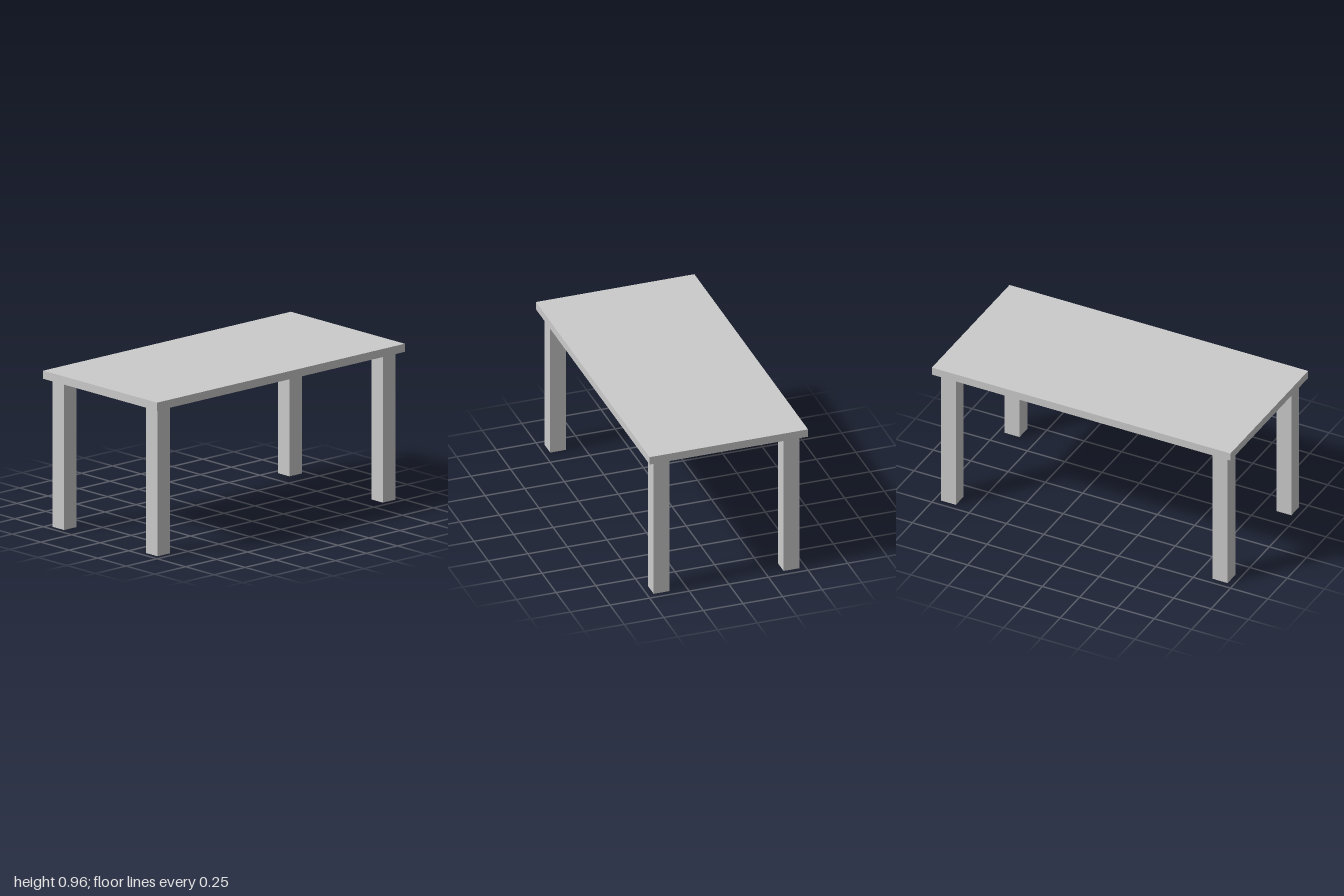
import * as THREE from 'three';

const WIDTH = 1, LENGTH = 2, TOP = 0.96, PANEL_BOTTOM = 0.93, RIM_BOTTOM = 0.91;
const RIM = 0.04, LEG = 0.1;

// Rectangle outline centred on the origin
function rectangle(Type, w, h) {
  return new Type([
    new THREE.Vector2(-w / 2, -h / 2),
    new THREE.Vector2(w / 2, -h / 2),
    new THREE.Vector2(w / 2, h / 2),
    new THREE.Vector2(-w / 2, h / 2),
  ]);
}

export function createModel() {
  const table = new THREE.Group();
  table.name = 'table';
  const material = new THREE.MeshStandardMaterial({ color: 0xcccccc });

  const add = (name, geometry, x, y, z) => {
    const mesh = new THREE.Mesh(geometry, material);
    mesh.name = name;
    mesh.position.set(x, y, z);
    table.add(mesh);
    return mesh;
  };

  // Flat top panel
  const thickness = TOP - PANEL_BOTTOM;
  add('tabletop', new THREE.BoxGeometry(WIDTH, thickness, LENGTH), 0, TOP - thickness / 2, 0);

  // Shallow rim around the underside, leaving it recessed
  const outline = rectangle(THREE.Shape, WIDTH, LENGTH);
  outline.holes.push(rectangle(THREE.Path, WIDTH - 2 * RIM, LENGTH - 2 * RIM));
  const rimGeometry = new THREE.ExtrudeGeometry(outline, {
    depth: PANEL_BOTTOM - RIM_BOTTOM,
    bevelEnabled: false,
  });
  rimGeometry.rotateX(-Math.PI / 2);
  add('rim', rimGeometry, 0, RIM_BOTTOM, 0);

  // Four square legs set into the corners of the rim
  const legGeometry = new THREE.BoxGeometry(LEG, PANEL_BOTTOM, LEG);
  const legX = WIDTH / 2 - RIM - LEG / 2;
  const legZ = LENGTH / 2 - RIM - LEG / 2;
  for (const [sideX, nameX] of [[1, 'Left'], [-1, 'Right']]) {
    for (const [sideZ, nameZ] of [[1, 'front'], [-1, 'back']]) {
      add(`${nameZ}${nameX}Leg`, legGeometry, sideX * legX, PANEL_BOTTOM / 2, sideZ * legZ);
    }
  }

  return table;
}
